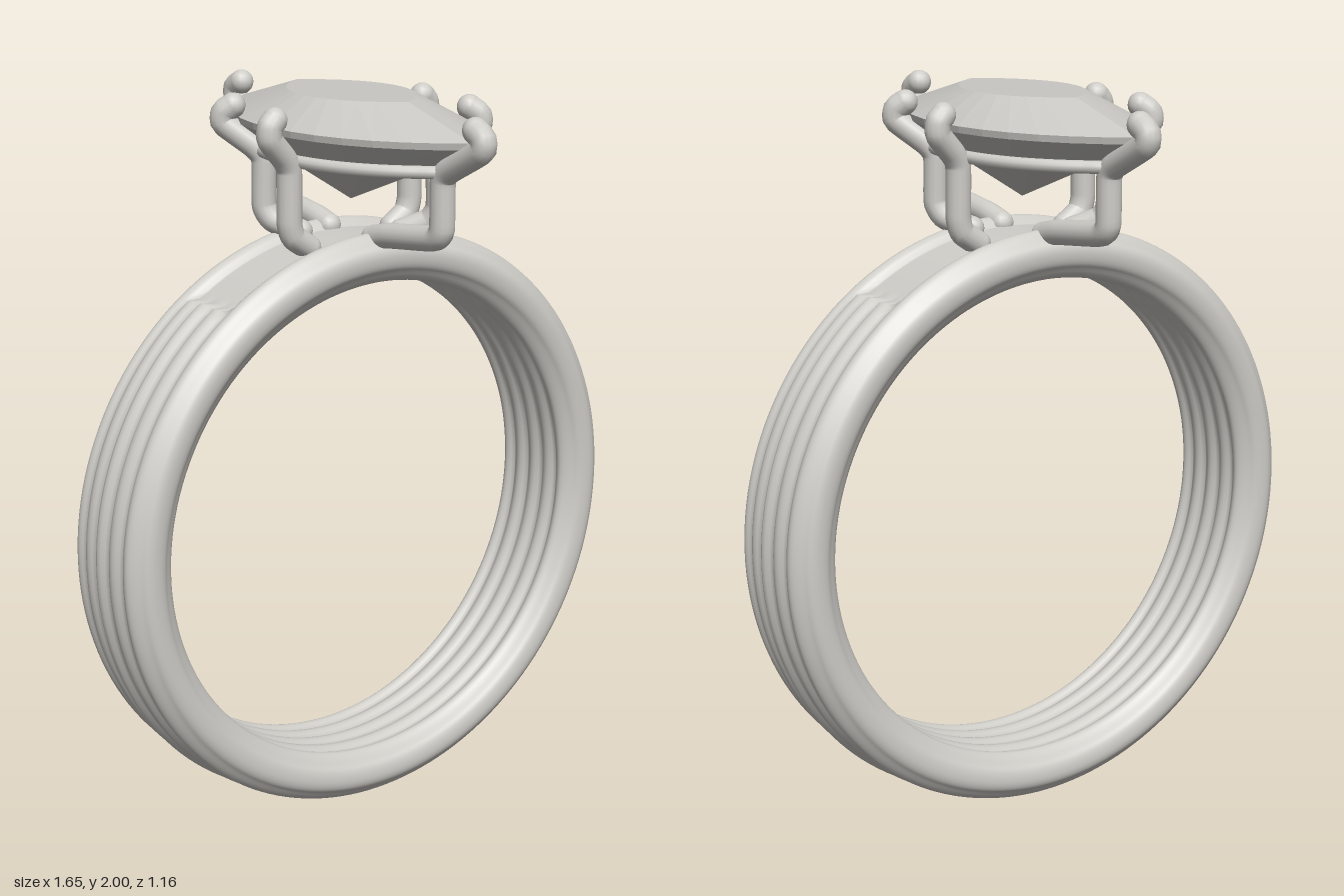
import * as THREE from 'three';
import { mergeVertices } from 'three/addons/utils/BufferGeometryUtils.js';

const BAND_Y = 0.825, BAND_R = 0.75, HALF_W = 0.165;

// Ribbed band: a closed profile spun around z, with the middle ribs levelled at the top
function bandGeometry() {
  const profile = [], n = 48;
  const thickness = (z) => {
    const over = Math.max(0, Math.abs(z) - 0.11) / 0.055;
    const round = Math.sqrt(Math.max(0, 1 - over * over));
    return round * (0.06 + 0.015 * Math.abs(Math.cos((Math.PI * z) / 0.06)));
  };
  for (let i = 0; i <= n; i++) {
    const z = HALF_W * Math.sin((i / n - 0.5) * Math.PI);
    const h = thickness(z);
    profile.push(new THREE.Vector2(BAND_R + h - 0.1 * Math.abs(z) * (h / 0.075), z));
  }
  for (let i = n; i >= 0; i--) {
    const z = HALF_W * Math.sin((i / n - 0.5) * Math.PI);
    profile.push(new THREE.Vector2(BAND_R - thickness(z), z));
  }
  let g = new THREE.LatheGeometry(profile, 160);
  g.rotateX(Math.PI / 2);
  const p = g.attributes.position;
  for (let i = 0; i < p.count; i++) {
    const x = p.getX(i), y = p.getY(i), z = p.getZ(i);
    const r = Math.hypot(x, y), fromTop = Math.abs(Math.atan2(x, y));
    if (Math.abs(z) > 0.085) continue;
    const t = 1 - THREE.MathUtils.smoothstep(fromTop, 0.58, 0.63);
    const s = THREE.MathUtils.lerp(r, r > BAND_R ? 0.79 : 0.69, t) / r;
    p.setXY(i, x * s, y * s);
  }
  g.deleteAttribute('uv');
  g.deleteAttribute('normal');
  g = mergeVertices(g, 1e-5);
  g.computeVertexNormals();
  g.translate(0, BAND_Y, 0);
  return g;
}

// Pointed oval outline, half width and half length of 1
function outline(count) {
  const w = 0.53, R = (1 + w * w) / (2 * w), max = Math.asin(1 / R), half = count / 2, pts = [];
  for (let i = 0; i < count; i++) {
    const side = i < half ? 1 : -1;
    const a = -max + (2 * max * (i % half)) / half;
    pts.push([(side * (R * Math.cos(a) - R + w)) / w, side * R * Math.sin(a)]);
  }
  return pts;
}

// Faceted stone from stacked outlines: [half width, half length, height]
function stoneGeometry() {
  const loops = [
    [0.0005, 0.0005, 1.71], [0.15, 0.27, 1.815], [0.262, 0.495, 1.91],
    [0.265, 0.5, 1.928], [0.15, 0.245, 2.0], [0.0005, 0.0005, 2.0],
  ];
  const shape = outline(28), n = shape.length, pos = [], index = [];
  for (const [w, l, y] of loops) for (const [x, z] of shape) pos.push(x * w, y, z * l);
  for (let k = 0; k < loops.length - 1; k++) {
    for (let i = 0; i < n; i++) {
      const a = k * n + i, b = a + n, c = k * n + ((i + 1) % n), d = c + n;
      index.push(a, b, c, c, b, d);
    }
  }
  const g = new THREE.BufferGeometry();
  g.setAttribute('position', new THREE.Float32BufferAttribute(pos, 3));
  g.setIndex(index);
  const flat = g.toNonIndexed();
  flat.computeVertexNormals();
  return flat;
}

// Bent wire with rounded ends
function prong(name, points, material) {
  const group = new THREE.Group();
  group.name = name;
  const v = points.map((p) => new THREE.Vector3(...p));
  const curve = new THREE.CatmullRomCurve3(v, false, 'catmullrom', 0.25);
  const r = 0.034;
  const wire = new THREE.Mesh(new THREE.TubeGeometry(curve, 56, r, 14), material);
  wire.name = name + 'Wire';
  group.add(wire);
  for (const end of [v[0], v[v.length - 1]]) {
    const cap = new THREE.Mesh(new THREE.SphereGeometry(r, 14, 10), material);
    cap.name = name + 'End';
    cap.position.copy(end);
    group.add(cap);
  }
  return group;
}

export function createModel() {
  const metal = new THREE.MeshStandardMaterial({ color: 0xcfcdc8 });
  metal.name = 'metal';
  const gem = new THREE.MeshStandardMaterial({ color: 0xc9c7c3, flatShading: true });
  gem.name = 'gem';

  const model = new THREE.Group();
  model.name = 'ring';
  const add = (name, geometry, material) => {
    const mesh = new THREE.Mesh(geometry, material);
    mesh.name = name;
    model.add(mesh);
  };

  add('band', bandGeometry(), metal);
  add('stone', stoneGeometry(), gem);

  // Thin rail under the stone
  const railPoints = outline(24).map(([x, z]) => new THREE.Vector3(x * 0.215, 1.84, z * 0.395));
  const rail = new THREE.CatmullRomCurve3(railPoints, true);
  add('rail', new THREE.TubeGeometry(rail, 120, 0.017, 10, true), metal);

  // Three prongs on each half, the other half turned by 180 degrees
  const prongs = {
    endProng: [[0, 1.62, 0.1], [0, 1.637, 0.17], [0, 1.662, 0.355], [0, 1.69, 0.386],
      [0, 1.815, 0.388], [0, 1.845, 0.41], [0, 1.915, 0.54], [0, 1.945, 0.543], [0, 1.962, 0.512]],
    outerProng: [[0.11, 1.62, 0.08], [0.165, 1.65, 0.13], [0.18, 1.69, 0.15],
      [0.18, 1.815, 0.15], [0.2, 1.85, 0.166], [0.262, 1.91, 0.217], [0.262, 1.94, 0.216], [0.242, 1.958, 0.2]],
    innerProng: [[0.17, 1.605, -0.04], [0.22, 1.64, -0.04], [0.232, 1.68, -0.04],
      [0.233, 1.815, -0.042], [0.25, 1.85, -0.045], [0.3, 1.905, -0.052], [0.3, 1.938, -0.052], [0.283, 1.955, -0.05]],
  };
  for (const [name, points] of Object.entries(prongs)) {
    for (const s of [1, -1]) {
      const turned = points.map(([x, y, z]) => [s * x, y, s * z]);
      model.add(prong(name + (s > 0 ? 'A' : 'B'), turned, metal));
    }
  }
  return model;
}
